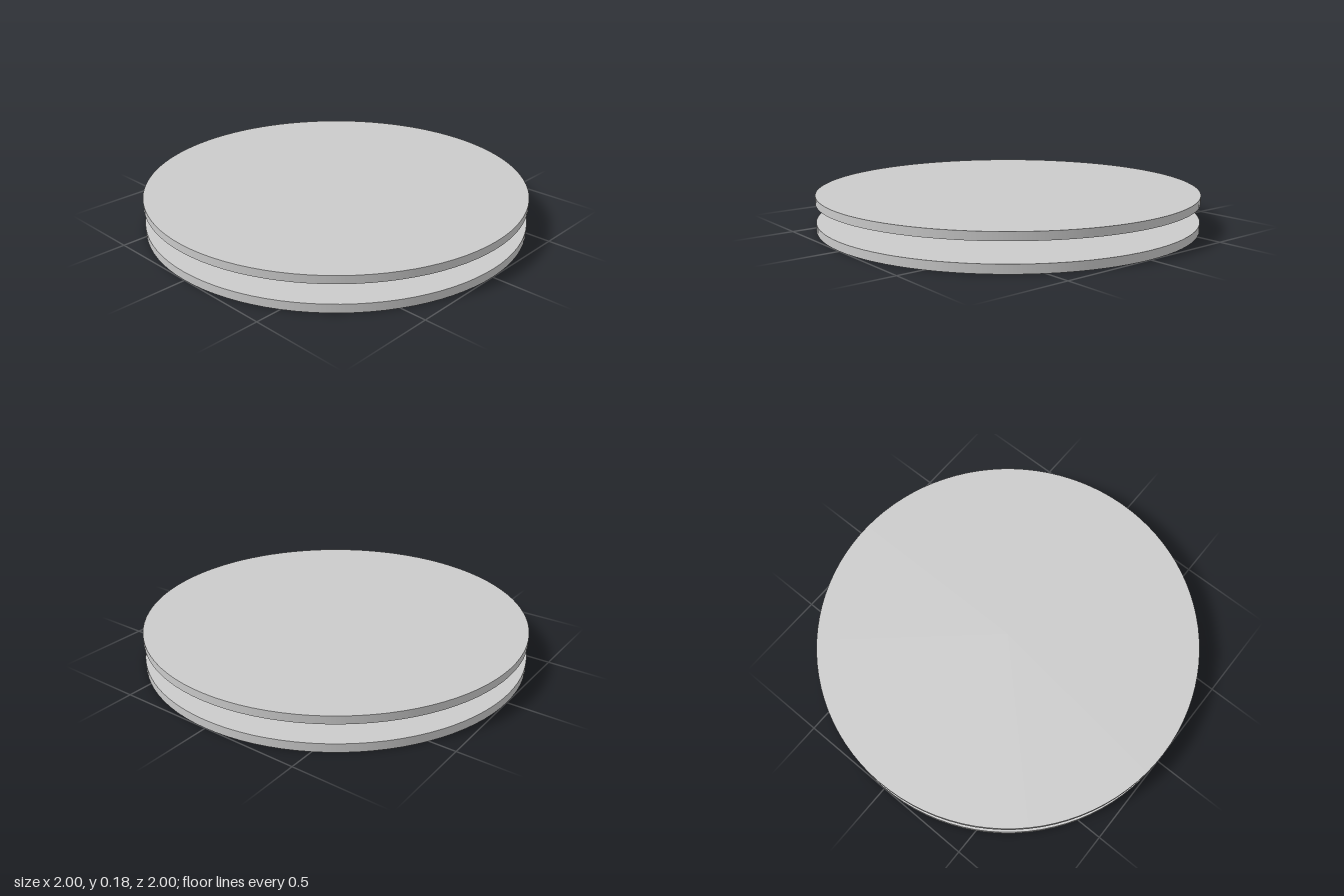
import * as THREE from 'three';

export function createModel() {
  const model = new THREE.Group();
  const material = new THREE.MeshStandardMaterial({ color: 0xcccccc });

  // Round plate between two heights
  function addPlate(name, bottom, top) {
    const geometry = new THREE.CylinderGeometry(1, 1, top - bottom, 96);
    const plate = new THREE.Mesh(geometry, material);
    plate.name = name;
    plate.position.y = (bottom + top) / 2;
    model.add(plate);
  }

  // Two parallel discs with an open gap between them
  addPlate('lowerDisc', 0, 0.044);
  addPlate('upperDisc', 0.142, 0.183);

  return model;
}
